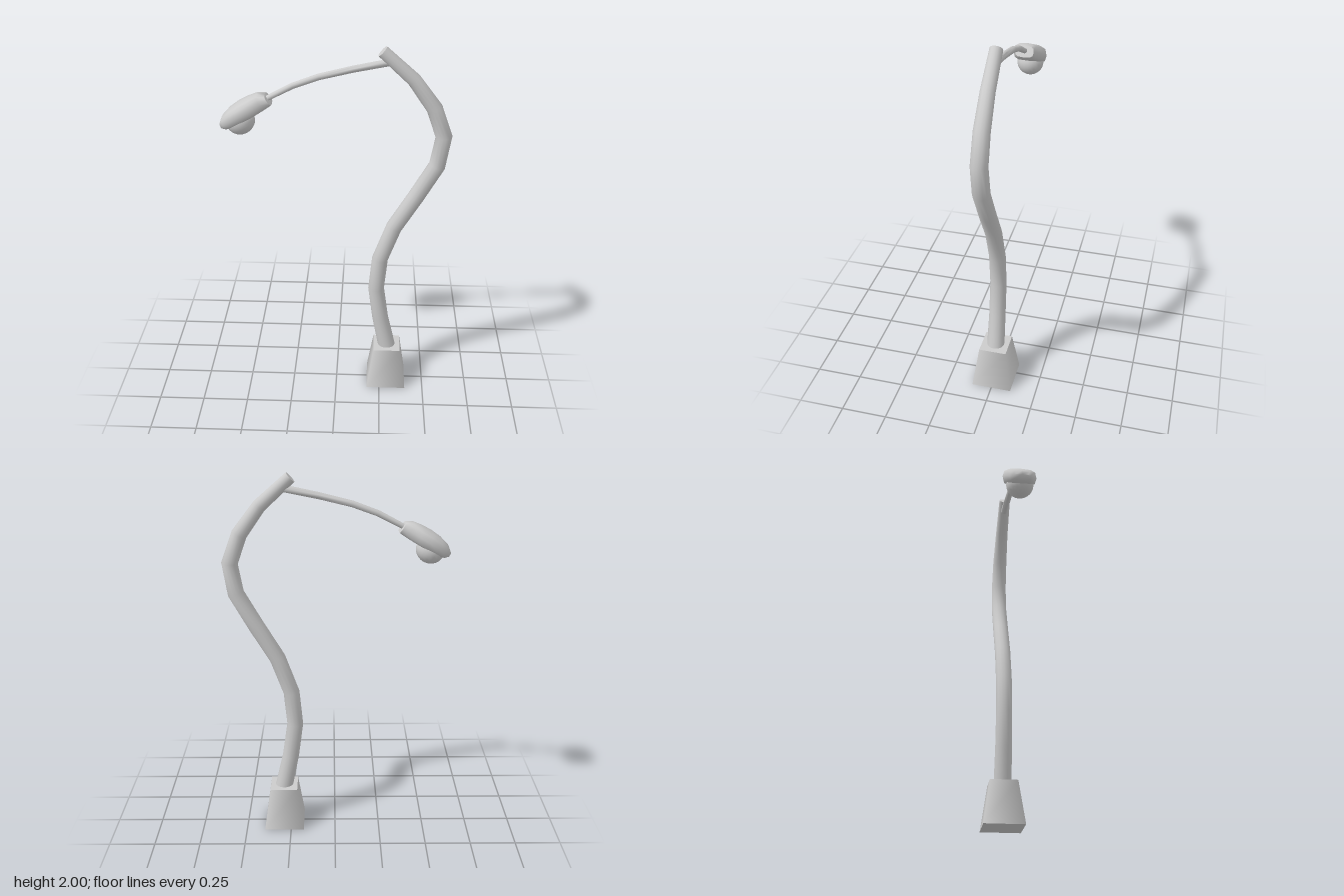
import * as THREE from 'three';
import { toCreasedNormals } from 'three/addons/utils/BufferGeometryUtils.js';

const material = new THREE.MeshStandardMaterial({ color: 0xcccccc, side: THREE.DoubleSide });

function part(name, geometry) {
  const mesh = new THREE.Mesh(geometry, material);
  mesh.name = name;
  return mesh;
}

// Skin a list of rings (same number of points each) and close both ends.
function loft(rings, crease) {
  const n = rings[0].length;
  const points = rings.flat();
  const index = [];
  for (let i = 0; i < rings.length - 1; i++) {
    for (let j = 0; j < n; j++) {
      const a = i * n + j, b = i * n + (j + 1) % n;
      index.push(a, b, a + n, b, b + n, a + n);
    }
  }
  const last = (rings.length - 1) * n;
  for (let j = 1; j < n - 1; j++) {
    index.push(0, j + 1, j, last, last + j, last + j + 1);
  }
  const geometry = new THREE.BufferGeometry().setFromPoints(points);
  geometry.setIndex(index);
  return toCreasedNormals(geometry, crease);
}

// Ring spanning from a low to a high point in the xy plane, with a half width
// in z; power below 1 makes it boxier.
function ring(high, low, halfWidth, sides, power = 1) {
  const shape = (v) => Math.sign(v) * Math.abs(v) ** power;
  return Array.from({ length: sides }, (_, j) => {
    const angle = (j / sides) * Math.PI * 2;
    const t = shape(Math.cos(angle)) / 2;
    return new THREE.Vector3(
      (high[0] + low[0]) / 2 + (high[0] - low[0]) * t,
      (high[1] + low[1]) / 2 + (high[1] - low[1]) * t,
      halfWidth * shape(Math.sin(angle))
    );
  });
}

// Tapered pipe along [x, y, radius] stations, with mitred joints.
function pipe(stations, sides) {
  const rings = stations.map(([x, y, r], i) => {
    const a = stations[Math.max(i - 1, 0)];
    const b = stations[Math.min(i + 1, stations.length - 1)];
    const length = Math.hypot(b[0] - a[0], b[1] - a[1]);
    const nx = (-(b[1] - a[1]) / length) * r, ny = ((b[0] - a[0]) / length) * r;
    return ring([x + nx, y + ny], [x - nx, y - ny], r, sides);
  });
  return loft(rings, 1.1);
}

export function createModel() {
  const model = new THREE.Group();
  model.name = 'streetLamp';

  // Tapered square foot
  const foot = new THREE.CylinderGeometry(0.075 * Math.SQRT2, 0.11 * Math.SQRT2, 0.24, 4);
  foot.rotateY(Math.PI / 4);
  const base = part('base', foot);
  base.position.set(0.288, 0.12, 0);
  model.add(base);

  // Bent pole
  model.add(part('pole', pipe([
    [0.295, 0.2, 0.049], [0.247, 0.425, 0.045], [0.22, 0.62, 0.044],
    [0.237, 0.81, 0.044], [0.308, 1.01, 0.044], [0.417, 1.195, 0.044],
    [0.517, 1.375, 0.044], [0.543, 1.537, 0.043], [0.488, 1.688, 0.041],
    [0.38, 1.835, 0.036], [0.222, 1.977, 0.032],
  ], 14)));

  // Thin arm carrying the lamp
  model.add(part('arm', pipe([
    [0.26, 1.922, 0.019], [0.08, 1.885, 0.018], [-0.09, 1.843, 0.017],
    [-0.22, 1.795, 0.016], [-0.36, 1.722, 0.014],
  ], 10)));

  // Lamp head: [top x, top y, bottom x, bottom y, half width]
  const sections = [
    [-0.36, 1.75, -0.325, 1.7, 0.05],
    [-0.402, 1.75, -0.365, 1.672, 0.058],
    [-0.45, 1.728, -0.412, 1.645, 0.08],
    [-0.5, 1.7, -0.462, 1.617, 0.089],
    [-0.545, 1.668, -0.515, 1.587, 0.08],
    [-0.58, 1.632, -0.557, 1.57, 0.062],
    [-0.592, 1.602, -0.577, 1.575, 0.046],
  ];
  model.add(part('lampHead', loft(
    sections.map(([tx, ty, bx, by, w]) => ring([tx, ty], [bx, by], w, 12, 0.65)), 1.0
  )));

  // Glass bulb under the head
  const bulb = part('bulb', new THREE.SphereGeometry(0.075, 20, 14));
  bulb.scale.set(1, 0.92, 0.95);
  bulb.position.set(-0.488, 1.606, 0);
  bulb.rotation.z = 0.5;
  model.add(bulb);

  return model;
}
